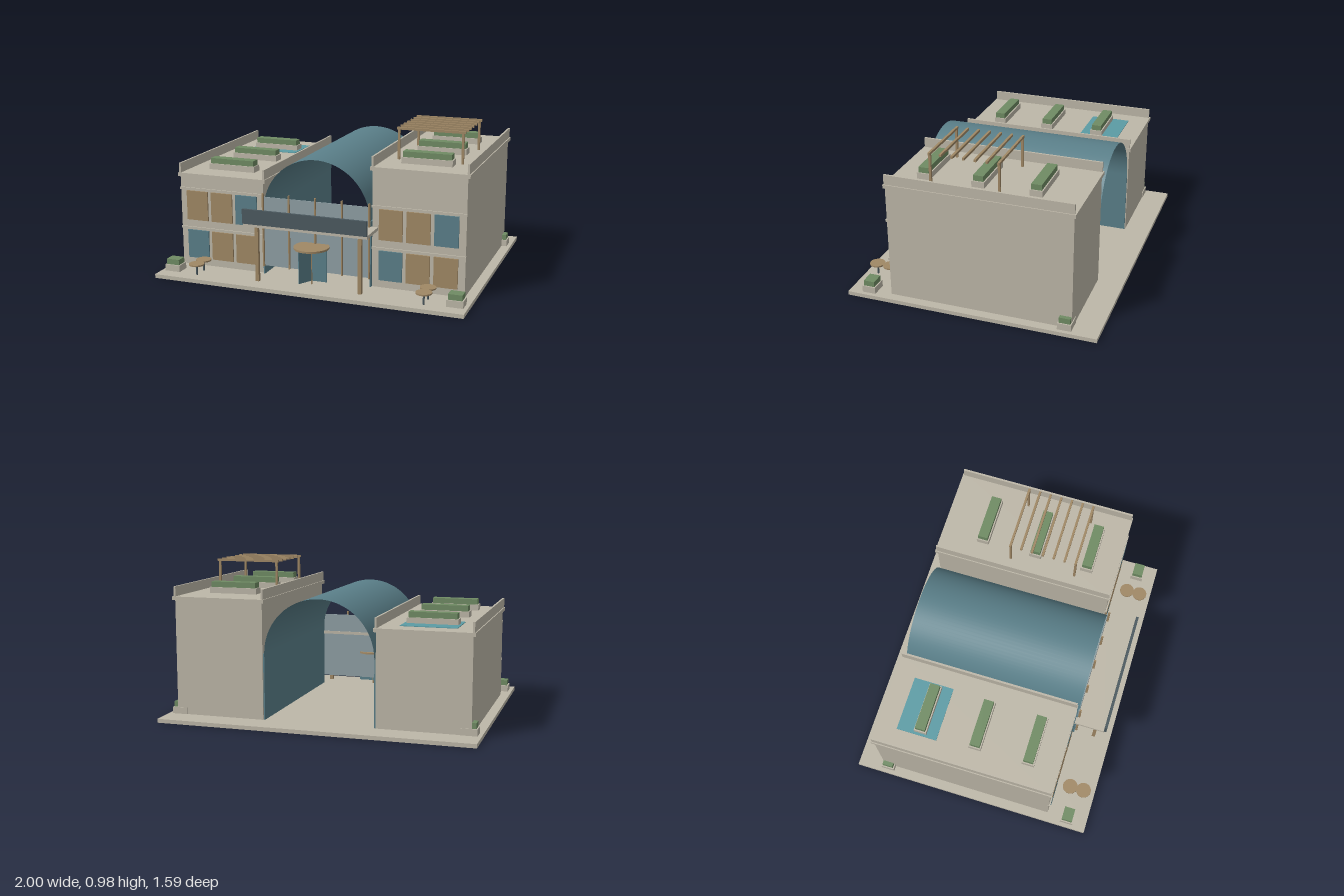
import * as THREE from 'three';

const mat = (name, color, side = THREE.FrontSide) => {
  const m = new THREE.MeshStandardMaterial({ color, side });
  m.name = name;
  return m;
};

export function createModel() {
  const concrete = mat('concrete', 0xbdb7a8);
  const wood = mat('wood', 0xa08865);
  const teal = mat('tealGlass', 0x5a7f89, THREE.DoubleSide);
  const paleGlass = mat('paleGlass', 0x8f9fa4, THREE.DoubleSide);
  const hedge = mat('hedge', 0x6f8b63);
  const charcoal = mat('charcoal', 0x4b595f);
  const water = mat('water', 0x5b9ba4);

  const model = new THREE.Group();
  model.name = 'courtyardBuilding';

  const add = (name, geometry, material, parent = model) => {
    const mesh = new THREE.Mesh(geometry, material);
    mesh.name = name;
    parent.add(mesh);
    return mesh;
  };
  // Box given by its extents on each axis
  const box = (name, material, [x0, x1], [y0, y1], [z0, z1], parent) => {
    const g = new THREE.BoxGeometry(x1 - x0, y1 - y0, z1 - z0);
    g.translate((x0 + x1) / 2, (y0 + y1) / 2, (z0 + z1) / 2);
    return add(name, g, material, parent);
  };
  const around = (c, size) => [c - size / 2, c + size / 2];
  const disc = (name, material, r, [y0, y1], x, z, parent, sides = 32) => {
    const g = new THREE.CylinderGeometry(r, r, y1 - y0, sides);
    g.translate(x, (y0 + y1) / 2, z);
    return add(name, g, material, parent);
  };
  const planter = (x, y, z, w, d, h) => {
    const group = new THREE.Group();
    group.name = 'planter';
    model.add(group);
    box('planterTrough', concrete, around(x, w), [y, y + h], around(z, d), group);
    box('planterHedge', hedge, around(x, w - 0.016), [y + h, y + h + 0.035], around(z, d - 0.016), group);
  };

  box('base', concrete, [-1, 1], [0, 0.025], [-0.795, 0.795]);

  // Two wings with roof slab, parapets, ledges, window panels and roof planters
  for (const [side, wallTop] of [[-1, 0.61], [1, 0.752]]) {
    const cx = side * 0.65;
    const roof = wallTop + 0.023;
    const wing = new THREE.Group();
    wing.name = side < 0 ? 'rightWing' : 'leftWing';
    model.add(wing);
    box('wingWalls', concrete, around(cx, 0.58), [0.025, wallTop], [-0.628, 0.528], wing);
    box('roofSlab', concrete, around(cx, 0.61), [wallTop, roof], [-0.64, 0.535], wing);
    for (const s of [-1, 1])
      box('parapet', concrete, around(cx + s * 0.292, 0.013), [roof, roof + 0.062], [-0.632, 0.53], wing);
    for (const y of [0.273, 0.533])
      box('ledge', concrete, around(cx, 0.585), around(y, 0.014), [0.52, 0.537], wing);
    for (let row = 0; row < 2; row++) {
      for (let i = -1; i <= 1; i++) {
        const glazed = row ? i === 1 : i === -1;
        box(glazed ? 'window' : 'timberPanel', glazed ? teal : wood, around(cx + i * 0.172, 0.148),
          row ? [0.328, 0.52] : [0.073, 0.26], [0.528, 0.538], wing);
      }
    }
    for (const z of [-0.36, -0.005, 0.34]) planter(cx, roof, z, 0.318, 0.08, 0.038);
  }

  // Shallow roof pool on the lower wing
  box('roofPool', water, [-0.825, -0.475], [0.633, 0.637], [-0.51, -0.25]);

  // Open barrel vault and side walls of the atrium
  const vault = new THREE.CylinderGeometry(0.35, 0.35, 1.17, 48, 1, true, Math.PI / 2, Math.PI);
  vault.rotateX(Math.PI / 2);
  vault.translate(0, 0.44, -0.038);
  add('vault', vault, teal);
  for (const s of [-1, 1])
    box('atriumWall', teal, around(s * 0.354, 0.008), [0.025, 0.44], [-0.623, 0.547]);

  // Front glazing with mullions
  box('frontGlazing', paleGlass, [-0.35, 0.35], [0.083, 0.53], [0.543, 0.55]);
  for (let i = -2; i <= 2; i++)
    box('mullion', wood, around(i * 0.175, 0.009), [0.08, 0.555], [0.55, 0.564]);

  // Entrance canopy, fascia and posts
  box('canopy', concrete, [-0.4, 0.4], [0.388, 0.408], [0.54, 0.74]);
  box('fascia', charcoal, [-0.4, 0.4], [0.408, 0.5], [0.735, 0.752]);
  for (const s of [-1, 1])
    box('canopyPost', wood, around(s * 0.336, 0.022), [0.025, 0.388], around(0.68, 0.022));

  // Three-leaf revolving door under a round cap
  const door = new THREE.Group();
  door.name = 'revolvingDoor';
  door.position.z = 0.62;
  model.add(door);
  disc('doorCap', wood, 0.11, [0.255, 0.267], 0, 0, door);
  disc('doorColumn', wood, 0.006, [0.025, 0.255], 0, 0, door, 12);
  for (let i = 0; i < 3; i++) {
    const leaf = box('doorLeaf', teal, [0, 0.1], [0.048, 0.255], [-0.003, 0.003], door);
    leaf.rotation.y = (i * Math.PI * 2) / 3;
  }

  // Round tables on the forecourt and corner planters
  for (const s of [-1, 1]) {
    for (const z of [0.625, 0.717]) {
      disc('tableTop', wood, 0.049, [0.093, 0.102], s * 0.742, z);
      disc('tableStem', charcoal, 0.006, [0.025, 0.093], s * 0.742, z, model, 12);
    }
    for (const z of [0.665, -0.59]) planter(s * 0.924, 0.025, z, 0.102, 0.086, 0.042);
  }

  // Roof pergola on the taller wing
  for (const x of [0.444, 0.844])
    for (const z of [-0.153, 0.275])
      box('pergolaPost', wood, around(x, 0.014), [0.775, 0.96], around(z, 0.014));
  for (let i = 0; i < 7; i++)
    box('pergolaBeam', wood, [0.43, 0.86], [0.96, 0.975], around(-0.153 + i * 0.0713, 0.014));

  return model;
}
